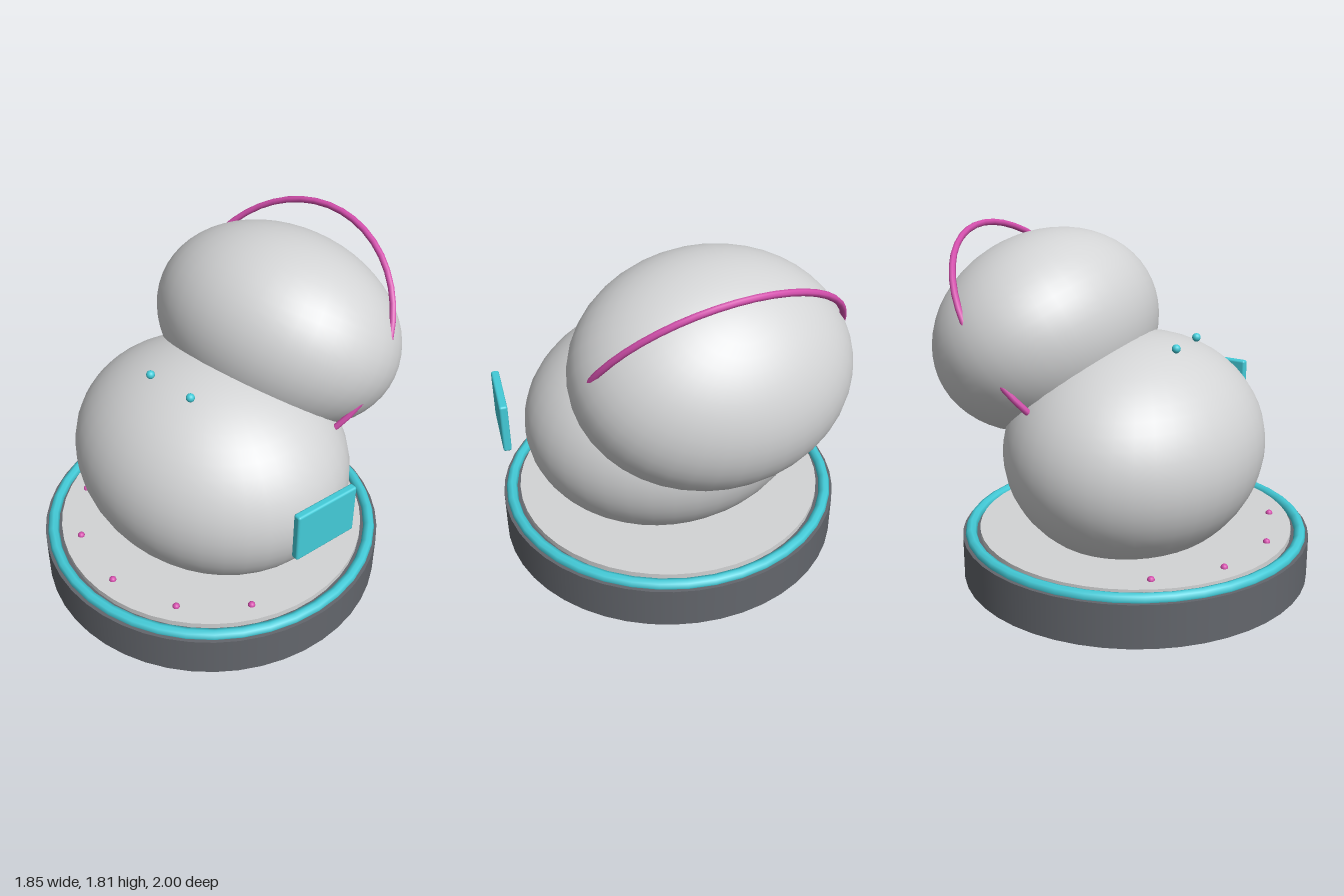
import * as THREE from 'three';
import { RoundedBoxGeometry } from 'three/addons/geometries/RoundedBoxGeometry.js';

function material(name, color) {
  const m = new THREE.MeshStandardMaterial({ color });
  m.name = name;
  return m;
}

export function createModel() {
  const model = new THREE.Group();
  const shell = material('pale grey shell', 0xd3d4d5);
  const dark = material('dark grey base', 0x63666c);
  const cyan = material('cyan accent', 0x43cbd8);
  const pink = material('pink accent', 0xd44fad);

  const add = (name, geometry, mat, x, y, z, parent = model) => {
    const mesh = new THREE.Mesh(geometry, mat);
    mesh.name = name;
    mesh.position.set(x, y, z);
    parent.add(mesh);
    return mesh;
  };
  const cx = -0.004, cz = 0.077; // axis of the round base

  // Round plinth, inlaid top plate and glowing rim
  add('base', new THREE.CylinderGeometry(0.922, 0.922, 0.225, 48), dark, cx, 0.1125, cz);
  add('topPlate', new THREE.CylinderGeometry(0.83, 0.83, 0.04, 48), shell, cx, 0.235, cz);
  add('rimRing', new THREE.TorusGeometry(0.878, 0.03, 8, 40), cyan, cx, 0.233, cz).rotation.x = -Math.PI / 2;

  // Indicator studs along the front of the plate
  const stud = new THREE.SphereGeometry(0.019, 12, 8);
  for (let i = -2; i <= 2; i++) {
    const a = i * Math.PI / 6;
    add('indicatorStud', stud, pink, cx + 0.735 * Math.sin(a), 0.256, cz + 0.735 * Math.cos(a));
  }

  // Squashed body
  const ball = new THREE.SphereGeometry(1, 40, 28);
  add('body', ball, shell, cx, 0.69, 0.08).scale.set(0.78, 0.59, 0.665);

  // Head leaning backwards, with a band around it
  const head = new THREE.Group();
  head.name = 'headGroup';
  head.position.set(cx, 1.25, -0.433);
  head.rotation.x = -35 * Math.PI / 180;
  model.add(head);
  add('head', ball, shell, 0, 0, 0, head).scale.set(0.7, 0.514, 0.59);
  add('headBand', new THREE.TorusGeometry(0.665, 0.017, 8, 48), pink, 0, 0, 0, head);

  // Eyes
  const eye = new THREE.SphereGeometry(0.022, 16, 12);
  for (const s of [-1, 1]) add('eye', eye, cyan, cx + s * 0.138, 1.253, 0.355);

  // Side panel floating beside the body
  add('sidePanel', new RoundedBoxGeometry(0.042, 0.27, 0.358, 3, 0.012), cyan, 0.873, 0.835, 0.22).rotation.y = -0.16;

  return model;
}
